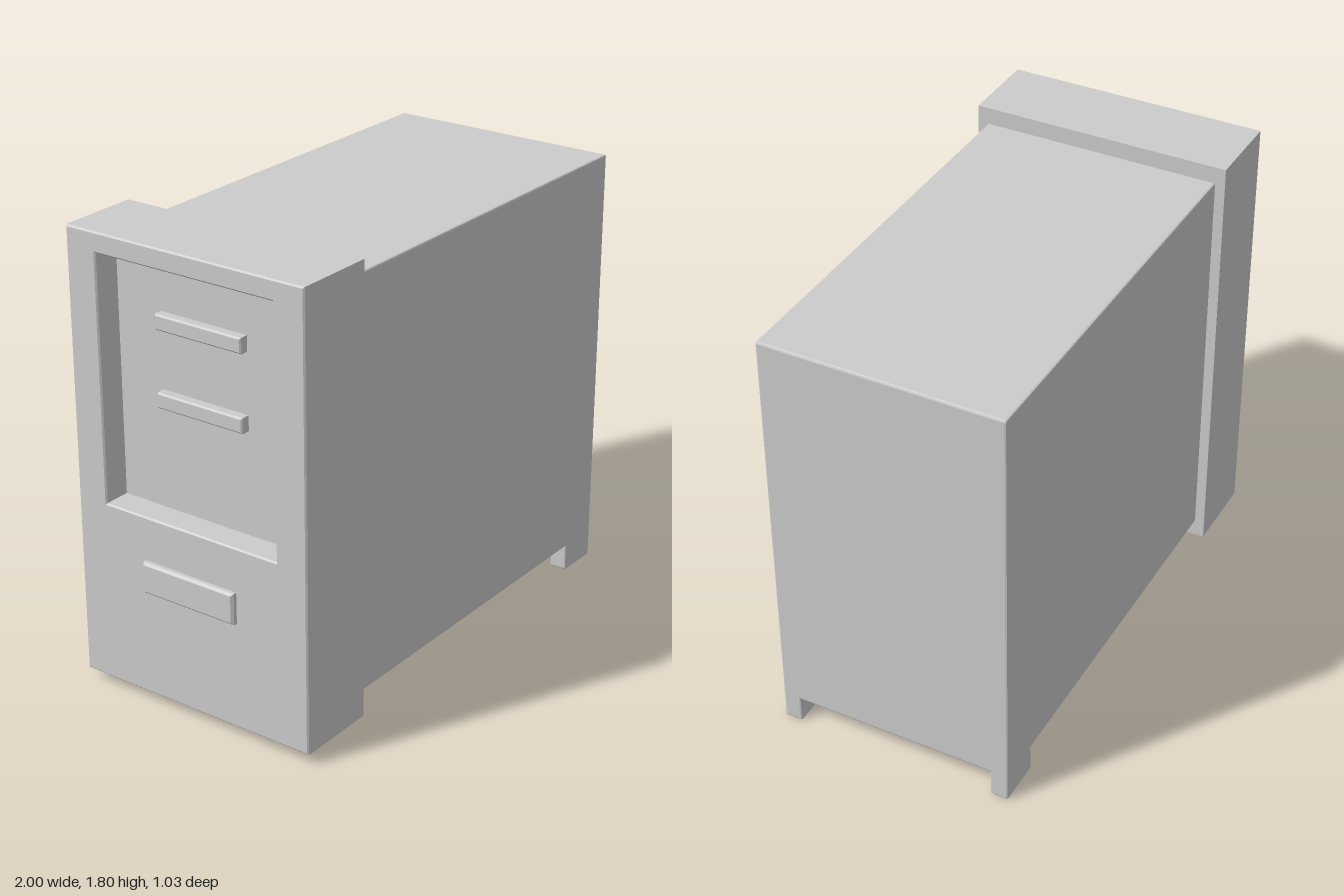
import * as THREE from 'three';
import { RoundedBoxGeometry } from 'three/addons/geometries/RoundedBoxGeometry.js';

const material = new THREE.MeshStandardMaterial({ color: 0xcccccc, flatShading: true });

function rectangle(Type, z0, z1, y0, y1) {
  const r = new Type();
  r.moveTo(z0, y0);
  r.lineTo(z1, y0);
  r.lineTo(z1, y1);
  r.lineTo(z0, y1);
  r.closePath();
  return r;
}

export function createModel() {
  const model = new THREE.Group();

  function add(name, geometry, x = 0, y = 0, z = 0) {
    const mesh = new THREE.Mesh(geometry, material);
    mesh.name = name;
    mesh.position.set(x, y, z);
    model.add(mesh);
    return mesh;
  }

  // Box given by its extents; a radius softens the edges
  function block(name, x0, x1, y0, y1, z0, z1, radius = 0) {
    const size = [x1 - x0, y1 - y0, z1 - z0];
    const geometry = radius
      ? new RoundedBoxGeometry(...size, 1, radius)
      : new THREE.BoxGeometry(...size);
    return add(name, geometry, (x0 + x1) / 2, (y0 + y1) / 2, (z0 + z1) / 2);
  }

  // Bevelled plate drawn in z and y, rising from xBack to xFront (towards -x)
  function plate(name, shape, xBack, xFront, bevel) {
    const geometry = new THREE.ExtrudeGeometry(shape, {
      depth: xBack - xFront - 2 * bevel,
      bevelThickness: bevel, bevelSize: bevel, bevelOffset: -bevel, bevelSegments: 1,
    });
    geometry.rotateY(-Math.PI / 2);
    return add(name, geometry, xBack - bevel);
  }

  // Case with two feet at the rear corners
  block('caseBody', -0.66, 0.998, 0.11, 1.73, -0.477, 0.477, 0.008);
  for (const side of [-1, 1]) {
    const z = side * 0.4405;
    block(side > 0 ? 'footLeft' : 'footRight', 0.813, 0.998, 0, 0.14, z - 0.0365, z + 0.0365, 0.008);
  }

  // Front bezel: solid rear and a frame around the drive bay
  block('bezelRear', -0.868, -0.647, 0.043, 1.798, -0.517, 0.517);
  const frame = rectangle(THREE.Shape, -0.517, 0.517, 0.043, 1.798);
  frame.holes.push(rectangle(THREE.Path, -0.385, 0.385, 0.765, 1.72));
  plate('bezelFrame', frame, -0.855, -0.977, 0.006);

  // Drive bay handles
  for (const [i, y] of [1.165, 1.46].entries()) {
    plate(`driveHandle${i + 1}`, rectangle(THREE.Shape, -0.19, 0.19, y, y + 0.06), -0.86, -0.905, 0.006);
  }

  // Raised panel below the bay
  plate('frontPanel', rectangle(THREE.Shape, -0.207, 0.207, 0.468, 0.592), -0.965, -1, 0.009);

  return model;
}
